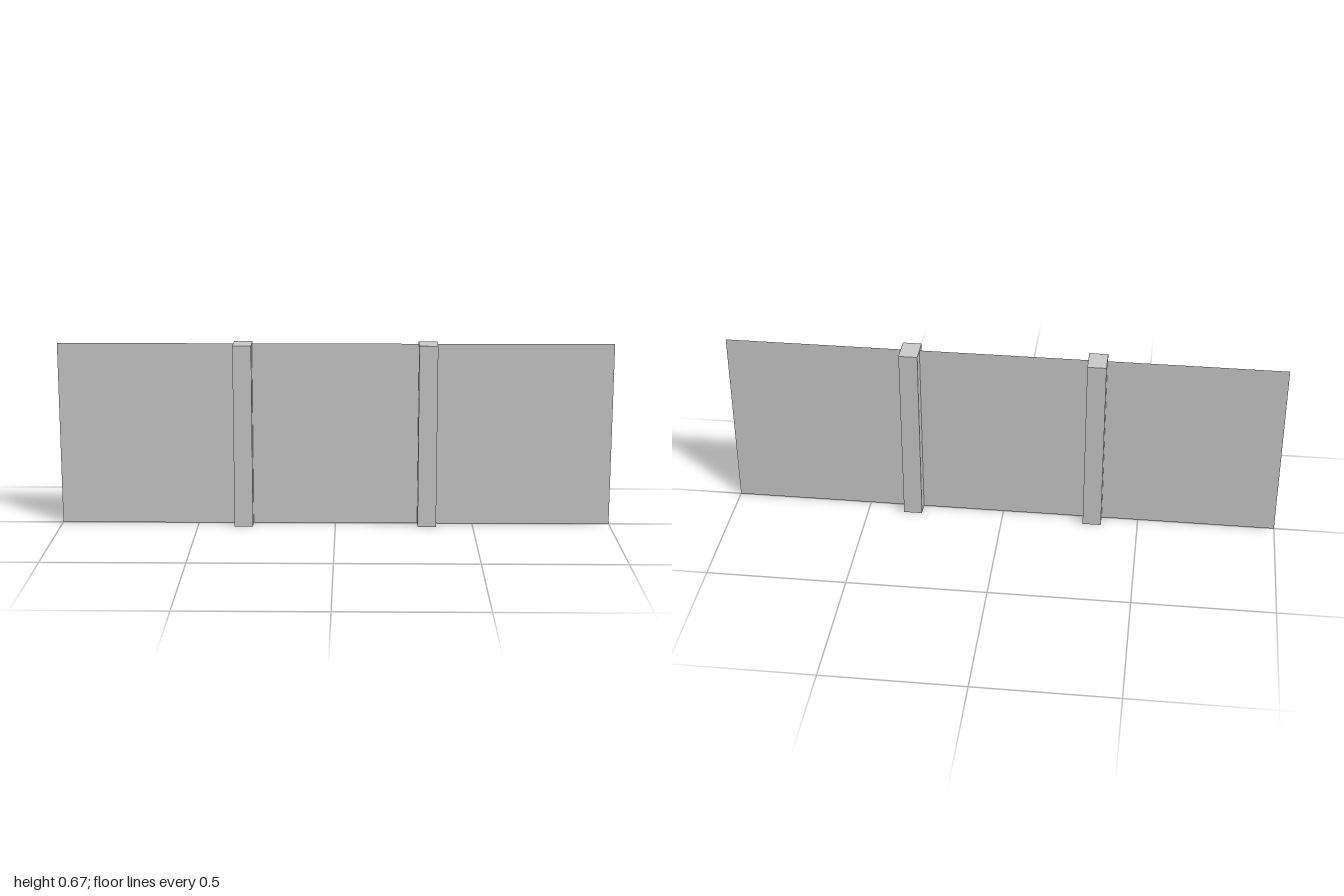
import * as THREE from 'three';

const HEIGHT = 0.667;

export function createModel() {
  const group = new THREE.Group();

  // Paper-thin fence panel, visible from both sides
  const panel = new THREE.Mesh(
    new THREE.PlaneGeometry(2, HEIGHT),
    new THREE.MeshStandardMaterial({ color: 0xcccccc, side: THREE.DoubleSide })
  );
  panel.name = 'panel';
  panel.position.y = HEIGHT / 2;
  group.add(panel);

  // Two square-edged posts straddling the panel
  const postGeometry = new THREE.BoxGeometry(0.067, HEIGHT, 0.1);
  const postMaterial = new THREE.MeshStandardMaterial({ color: 0xcccccc });
  for (const [name, side] of [['leftPost', 1], ['rightPost', -1]]) {
    const post = new THREE.Mesh(postGeometry, postMaterial);
    post.name = name;
    post.position.set(side * 0.333, HEIGHT / 2, 0);
    group.add(post);
  }

  return group;
}
